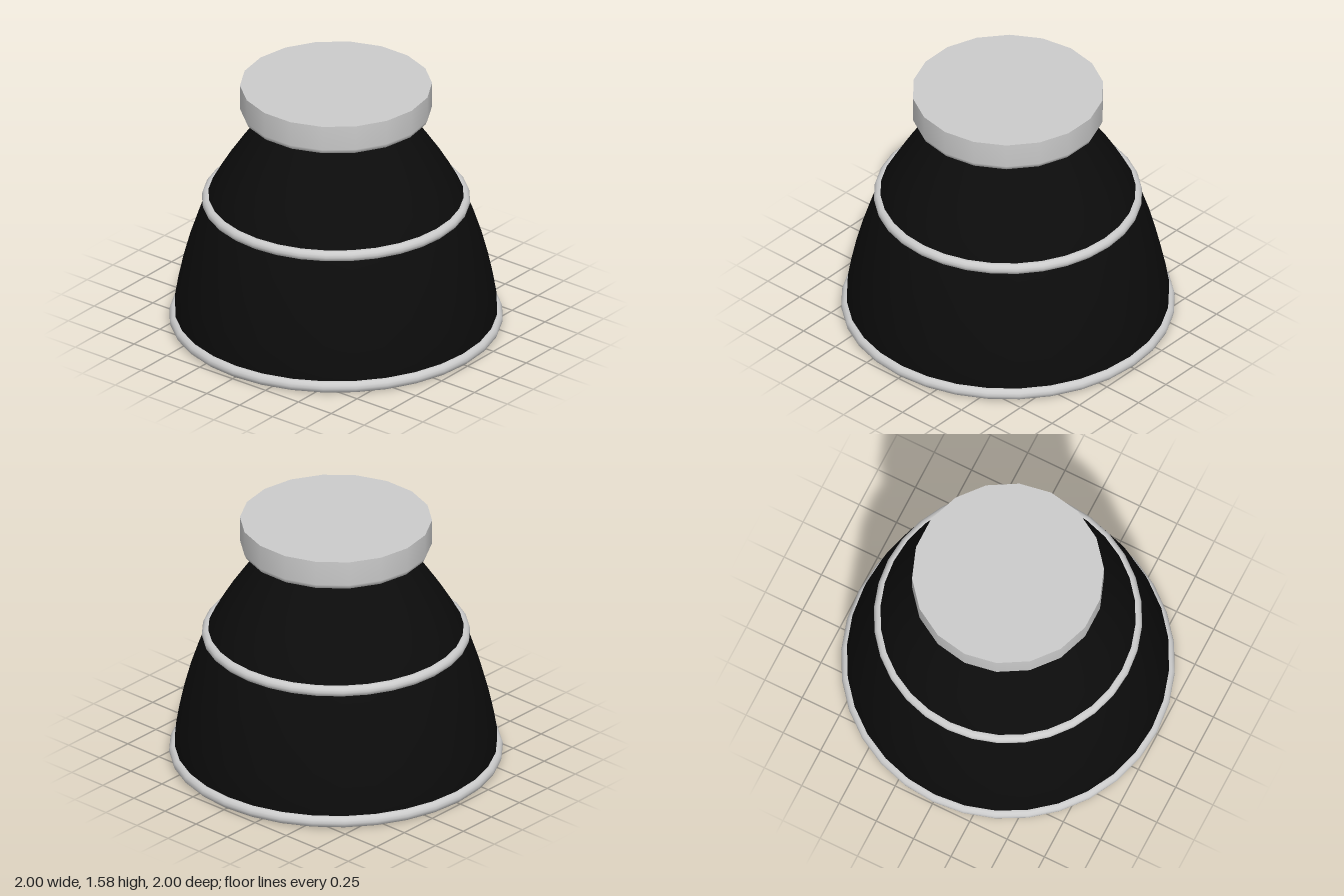
import * as THREE from 'three';

export function createModel() {
  const model = new THREE.Group();
  const grey = new THREE.MeshStandardMaterial({ color: 0xcccccc });
  const black = new THREE.MeshStandardMaterial({ color: 0x0c0c0c });
  const SIDES = 32;

  const add = (name, geometry, material, y = 0) => {
    const mesh = new THREE.Mesh(geometry, material);
    mesh.name = name;
    mesh.position.y = y;
    model.add(mesh);
  };
  // revolve [radius, height] points, with a corner on the x axis
  const lathe = (points, sides) => new THREE.LatheGeometry(
    points.map(([r, y]) => new THREE.Vector2(r, y)), sides, Math.PI / 2);

  // Bell-shaped shade, black outside
  const profile = [
    [0.965, 0.05], [0.965, 0.14], [0.945, 0.26], [0.915, 0.4], [0.875, 0.55],
    [0.825, 0.7], [0.765, 0.85], [0.71, 0.95], [0.65, 1.05], [0.565, 1.175],
    [0.485, 1.285], [0.4, 1.4],
  ];
  add('shadeOuter', lathe(profile, SIDES), black);

  // Pale lining, running downwards so that it faces inwards
  const lining = profile.map(([r, y]) => [r - 0.09, y]).reverse();
  lining[0][1] = 1.37;
  add('shadeLining', lathe([[0, 1.37], ...lining], SIDES), grey);

  // Black edge joining the two walls
  add('shadeEdge', new THREE.RingGeometry(0.875, 0.965, SIDES).rotateX(Math.PI / 2), black, 0.05);

  // Rounded trim rings
  const ring = (name, radius, tube, y) => add(name,
    new THREE.TorusGeometry(radius, tube, 12, SIDES).rotateX(Math.PI / 2), grey, y);
  ring('rimRing', 0.964, 0.036, 0.04);
  ring('middleRing', 0.77, 0.034, 0.818);

  // Ceiling mount with a rounded lower edge and flat top
  add('mount', lathe([
    [0, 1.39], [0.54, 1.39], [0.563, 1.398], [0.575, 1.425], [0.575, 1.58],
  ], 18), grey);
  add('mountTop', new THREE.CircleGeometry(0.575, 18).rotateX(-Math.PI / 2), grey, 1.58);

  return model;
}
